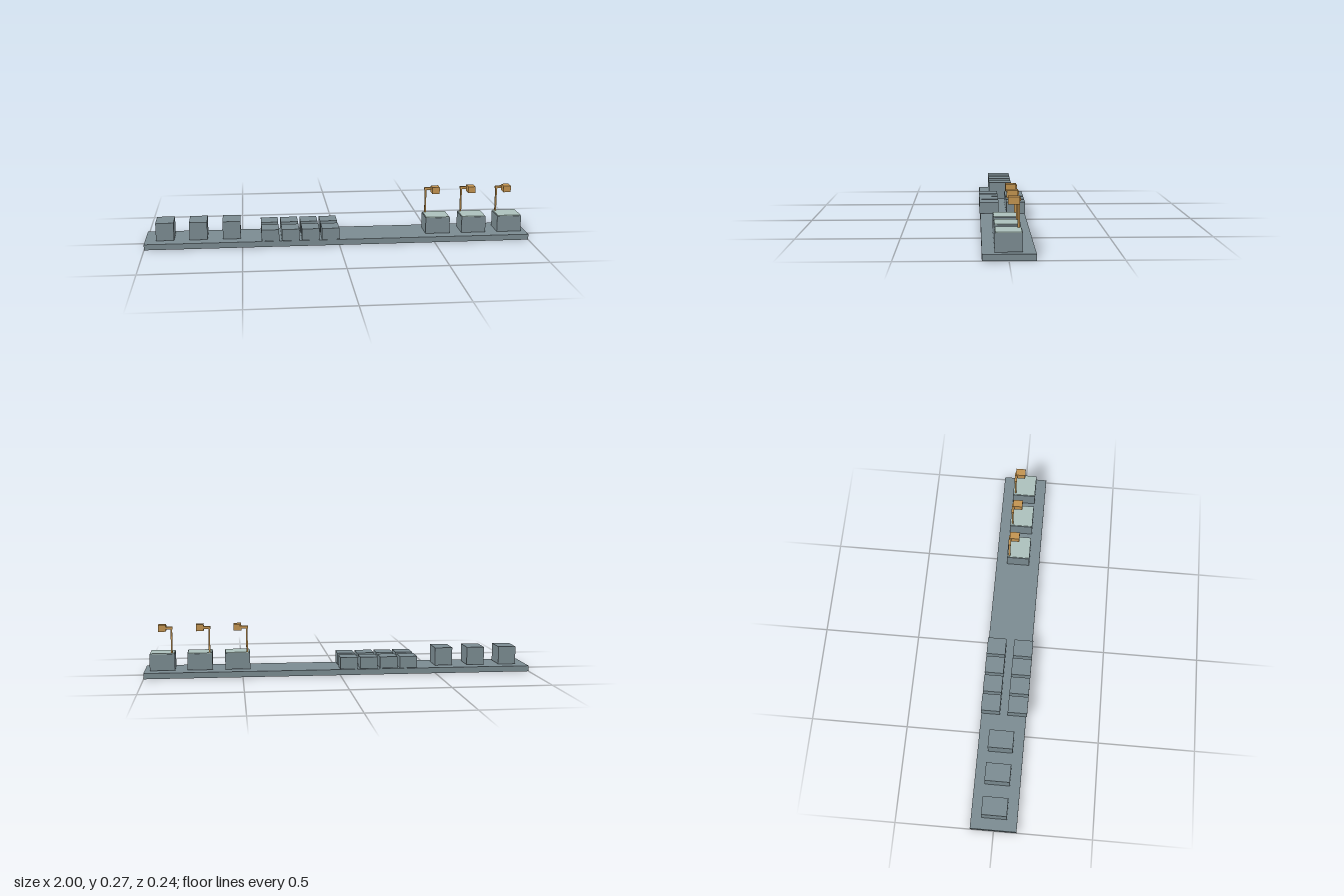
import * as THREE from 'three';

const steel = new THREE.MeshStandardMaterial({ color: 0x7b8b91 });
steel.name = 'blueGreySteel';
const glass = new THREE.MeshStandardMaterial({ color: 0xabc0bb });
glass.name = 'paleGreenTop';
const brass = new THREE.MeshStandardMaterial({ color: 0xc29350 });
brass.name = 'ochre';

// Box given by its extents on each axis
function box(parent, name, material, [x0, x1], [y0, y1], [z0, z1]) {
  const mesh = new THREE.Mesh(new THREE.BoxGeometry(x1 - x0, y1 - y0, z1 - z0), material);
  mesh.position.set((x0 + x1) / 2, (y0 + y1) / 2, (z0 + z1) / 2);
  mesh.name = name;
  parent.add(mesh);
}

// Pedestal with a pale top plate and an L-shaped lamp at its back corner
function lampStation(x) {
  const g = new THREE.Group();
  g.name = 'lampStation';
  g.position.x = x;
  box(g, 'pedestal', steel, [-0.064, 0.064], [0.032, 0.116], [-0.061, 0.0605]);
  box(g, 'topPlate', glass, [-0.061, 0.061], [0.116, 0.12], [-0.058, 0.0575]);
  box(g, 'lampPost', brass, [-0.053, -0.045], [0.119, 0.25], [-0.0525, -0.043]);
  box(g, 'lampArm', brass, [-0.055, 0.0], [0.243, 0.256], [-0.0545, -0.0415]);
  box(g, 'lampHead', brass, [-0.021, 0.018], [0.231, 0.265], [-0.05, 0.001]);
  return g;
}

export function createModel() {
  const model = new THREE.Group();
  model.name = 'platform';

  // Long base slab
  box(model, 'base', steel, [-1, 1], [0, 0.0295], [-0.119, 0.116]);

  // Three tall blocks at the right end
  for (const x of [-0.896, -0.725, -0.554]) {
    box(model, 'tallBlock', steel, [x - 0.046, x + 0.046], [0.032, 0.125], [-0.065, 0.0625]);
  }

  // Two rows of four low blocks
  for (let i = 0; i < 4; i++) {
    const x = -0.356 + i * 0.1035;
    box(model, 'lowBlockBack', steel, [x - 0.045, x + 0.045], [0.032, 0.092], [-0.12, -0.022]);
    box(model, 'lowBlockFront', steel, [x - 0.045, x + 0.045], [0.032, 0.092], [0.019, 0.12]);
  }

  // Three lamp stations at the left end
  for (const x of [0.525, 0.717, 0.908]) model.add(lampStation(x));

  return model;
}
